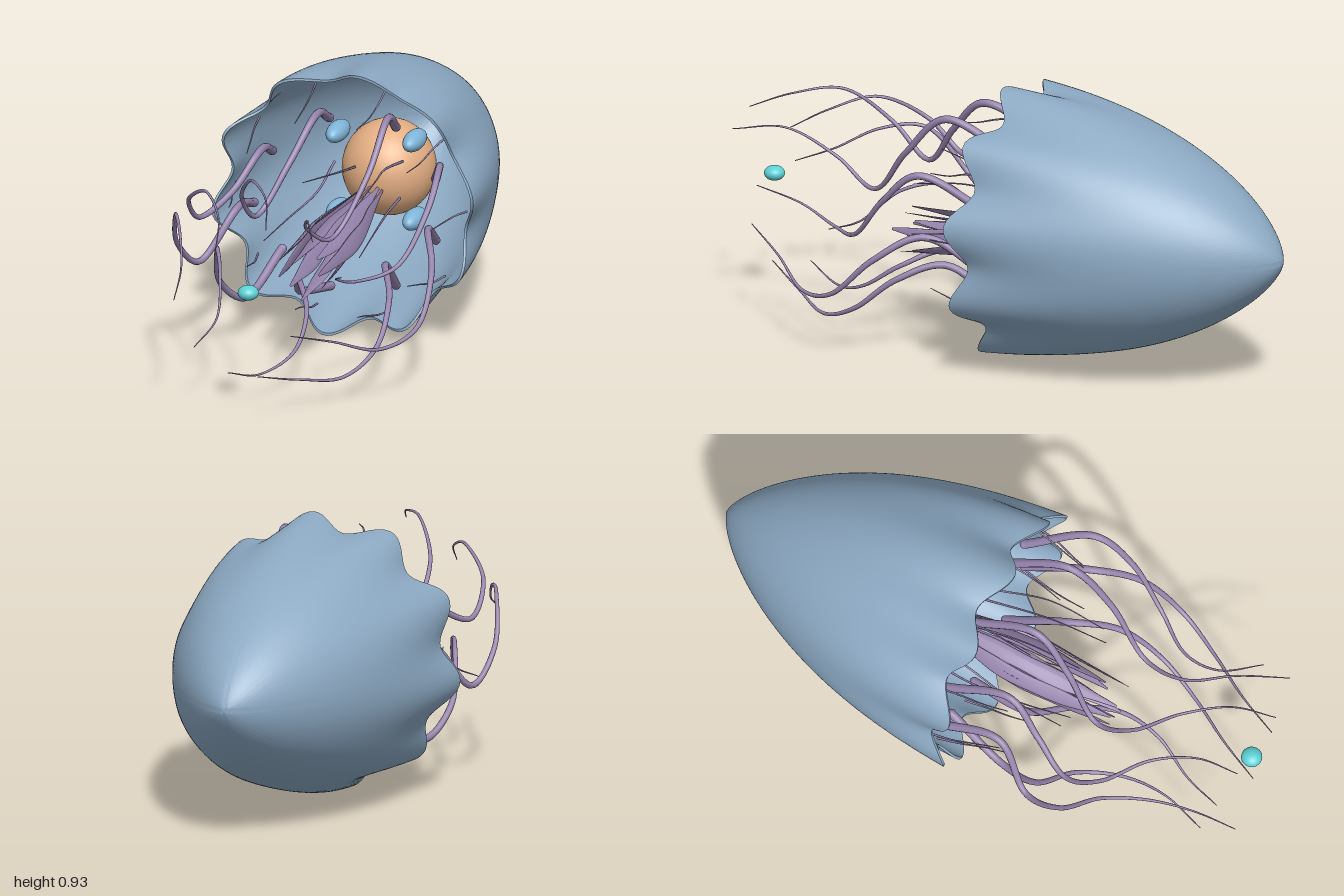
import * as THREE from 'three';
import { mergeVertices, toCreasedNormals } from 'three/addons/utils/BufferGeometryUtils.js';

const CY = 0.465; // height of the bell's axis

const mat = (name, color, side = THREE.FrontSide) => {
  const m = new THREE.MeshStandardMaterial({ color, side });
  m.name = name;
  return m;
};

// Tube along points whose radius follows radiusAt(t); optionally squashed along a direction
function taperedTube(points, segs, sides, radiusAt, flatDir = null, flat = 1) {
  const curve = new THREE.CatmullRomCurve3(points.map(p => new THREE.Vector3(...p)));
  const geo = new THREE.TubeGeometry(curve, segs, 1, sides);
  const pos = geo.attributes.position;
  const v = new THREE.Vector3();
  for (let i = 0; i <= segs; i++) {
    const c = curve.getPointAt(i / segs);
    const r = radiusAt(i / segs);
    for (let j = 0; j <= sides; j++) {
      const k = i * (sides + 1) + j;
      v.fromBufferAttribute(pos, k).sub(c);
      if (flatDir) v.addScaledVector(flatDir, -v.dot(flatDir) * (1 - flat));
      v.multiplyScalar(r).add(c);
      pos.setXYZ(k, v.x, v.y, v.z);
    }
  }
  if (flatDir) geo.computeVertexNormals();
  return geo;
}

// Double-walled bell with ten lobes that swell towards the rim
function bellGeometry() {
  const outer = [new THREE.Vector2(0, -1)];
  for (let i = 0; i <= 44; i++) {
    const z = -0.997 * (1 - (i / 44) ** 1.5);
    outer.push(new THREE.Vector2(0.442 * (1 - z * z) ** 0.7, z));
  }
  const inner = outer.map(p => new THREE.Vector2(Math.max(p.x - 0.009, 0), p.y * 0.988)).reverse();
  const geo = new THREE.LatheGeometry([...outer, ...inner], 160);
  geo.rotateX(Math.PI / 2);
  const pos = geo.attributes.position;
  for (let i = 0; i < pos.count; i++) {
    const x = pos.getX(i), y = pos.getY(i), z = pos.getZ(i);
    const t = Math.max(z + 1, 0);
    const wave = Math.cos(10 * (Math.atan2(y, x) - Math.PI / 18));
    const s = 1 + 0.055 * t ** 4 * wave;
    pos.setXYZ(i, x * s, y * s, z + t ** 7 * (0.034 * wave - 0.004));
  }
  geo.deleteAttribute('uv');
  geo.deleteAttribute('normal');
  return toCreasedNormals(mergeVertices(geo, 1e-5), 0.8);
}

export function createModel() {
  const model = new THREE.Group();
  const bellBlue = mat('bellBlue', 0x8ca9c3);
  const amber = mat('amber', 0xe3ae82);
  const purple = mat('purple', 0x9482ab, THREE.DoubleSide);
  const bulbBlue = mat('bulbBlue', 0x80b6da);
  const teal = mat('teal', 0x5ed0d4);

  const add = (name, geo, material, parent = model) => {
    const mesh = new THREE.Mesh(geo, material);
    mesh.name = name;
    parent.add(mesh);
    return mesh;
  };
  const group = name => {
    const g = new THREE.Group();
    g.name = name;
    model.add(g);
    return g;
  };
  const ellipsoid = (name, material, p, r, parent) => {
    const m = add(name, new THREE.SphereGeometry(1, 32, 20), material, parent);
    m.position.set(...p);
    m.scale.set(...r);
  };

  add('bell', bellGeometry(), bellBlue).position.y = CY;
  ellipsoid('core', amber, [0, 0.453, -0.425], [0.157, 0.163, 0.16]);
  ellipsoid('lure', teal, [0, CY, 0.94], [0.035, 0.025, 0.035]);

  // Four long bulbs around the core
  const bulbs = group('bulbs');
  for (const x of [-0.135, 0.135])
    for (const y of [0.327, 0.602]) ellipsoid('bulb', bulbBlue, [x, y, -0.3], [0.034, 0.034, 0.075], bulbs);

  // Nine long tentacles: end z, then x/y points from base to tip
  const paths = [
    [0.84, [0.30, 0.57], [0.39, 0.69], [0.395, 0.58], [0.34, 0.43], [0.245, 0.41], [0.225, 0.46], [0.29, 0.52]],
    [0.965, [0.16, 0.735], [0.205, 0.835], [0.195, 0.69], [0.13, 0.52], [0.1, 0.6], [0.16, 0.69], [0.235, 0.68]],
    [0.99, [-0.075, 0.74], [-0.045, 0.822], [-0.085, 0.7], [-0.15, 0.55], [-0.155, 0.66], [-0.07, 0.775], [0.03, 0.765], [0.08, 0.71]],
    [0.945, [-0.275, 0.6], [-0.24, 0.675], [-0.29, 0.57], [-0.355, 0.515], [-0.35, 0.62], [-0.24, 0.705], [-0.15, 0.665], [-0.115, 0.59]],
    [1.0, [-0.34, 0.41], [-0.32, 0.465], [-0.4, 0.315], [-0.43, 0.42], [-0.385, 0.575], [-0.32, 0.565], [-0.265, 0.49], [-0.24, 0.43]],
    [0.86, [-0.24, 0.26], [-0.29, 0.155], [-0.33, 0.25], [-0.29, 0.42], [-0.23, 0.4], [-0.19, 0.28], [-0.22, 0.22]],
    [0.86, [-0.07, 0.15], [-0.1, 0.2], [-0.05, 0.285], [0.025, 0.23], [0.03, 0.14], [-0.04, 0.1], [-0.1, 0.145]],
    [0.93, [0.16, 0.18], [0.2, 0.325], [0.27, 0.27], [0.28, 0.15], [0.22, 0.09], [0.12, 0.12], [0.03, 0.17]],
    [0.94, [0.30, 0.355], [0.35, 0.465], [0.42, 0.38], [0.425, 0.24], [0.35, 0.205], [0.24, 0.27], [0.15, 0.33]],
  ];
  const tentacles = group('tentacles');
  for (const [end, ...xy] of paths) {
    const pts = xy.map(([x, y], i) => [x, y, i ? 0.165 + (end - 0.165) * (i - 1) / (xy.length - 2) : -0.05]);
    add('tentacle', taperedTube(pts, 72, 10, t => 0.014 * (1 - t) + 0.0015), purple, tentacles);
    ellipsoid('tentacleBase', purple, pts[0], [0.0155, 0.0155, 0.0155], tentacles);
  }

  // Short fine tentacles just inside the rim
  const fringe = group('fringe');
  for (let i = 0; i < 10; i++) {
    const a = i * Math.PI / 5;
    const pts = [0.405, 0.39, 0.365, 0.345].map((r, k) => {
      const b = a + 0.02 * Math.sin(k * 1.6 + i);
      return [r * Math.cos(b), CY + r * Math.sin(b), -0.06 + k * 0.08];
    });
    add('fringeTentacle', taperedTube(pts, 24, 6, t => 0.004 - 0.0025 * t), purple, fringe);
  }

  // Leaf-like mouth arms, drooping forwards from the core
  const arms = group('mouthArms');
  const tips = [[-0.065, 0.41], [-0.02, 0.4], [0.04, 0.4], [0.07, 0.37], [-0.07, 0.35],
    [0.055, 0.30], [0.01, 0.275], [-0.03, 0.32]];
  tips.forEach(([x, y], i) => {
    const a = Math.atan2(y - 0.345, x);
    const out = new THREE.Vector3(Math.cos(a), Math.sin(a), 0);
    const pts = [
      [x * 0.4, 0.42 + out.y * 0.015, -0.3],
      [x * 0.8, 0.405 + out.y * 0.025, -0.1],
      [x * 1.2, 0.385 + out.y * 0.04, 0.08],
      [x * 1.15, (y + 0.37) / 2 + out.y * 0.02, 0.26],
      [x, y, i % 3 === 2 ? 0.38 : 0.45],
    ];
    const ruffle = t => 0.004 + 0.026 * Math.sin(Math.PI * t ** 1.3) * (1 + 0.1 * Math.sin(18 * t + i));
    add('mouthArm', taperedTube(pts, 48, 10, ruffle, out, 0.18), purple, arms);
  });

  // Fine wavy strands around the mouth arms
  const strands = group('strands');
  const strandPaths = [
    [[-0.07, 0.49], [-0.03, 0.55], [-0.018, 0.6], [-0.033, 0.64]],
    [[0.1, 0.53], [0.11, 0.57], [0.15, 0.6], [0.15, 0.57]],
    [[-0.14, 0.5], [-0.13, 0.46], [-0.16, 0.43], [-0.17, 0.42]],
    [[0.09, 0.4], [0.12, 0.42], [0.15, 0.425], [0.165, 0.4]],
    [[-0.1, 0.34], [-0.13, 0.31], [-0.12, 0.3], [-0.1, 0.33]],
  ];
  for (const path of strandPaths) {
    const pts = path.map(([x, y], k) => [x, y, -0.28 + k * 0.2]);
    add('strand', taperedTube(pts, 32, 6, t => 0.005 - 0.0035 * t), purple, strands);
  }

  return model;
}
